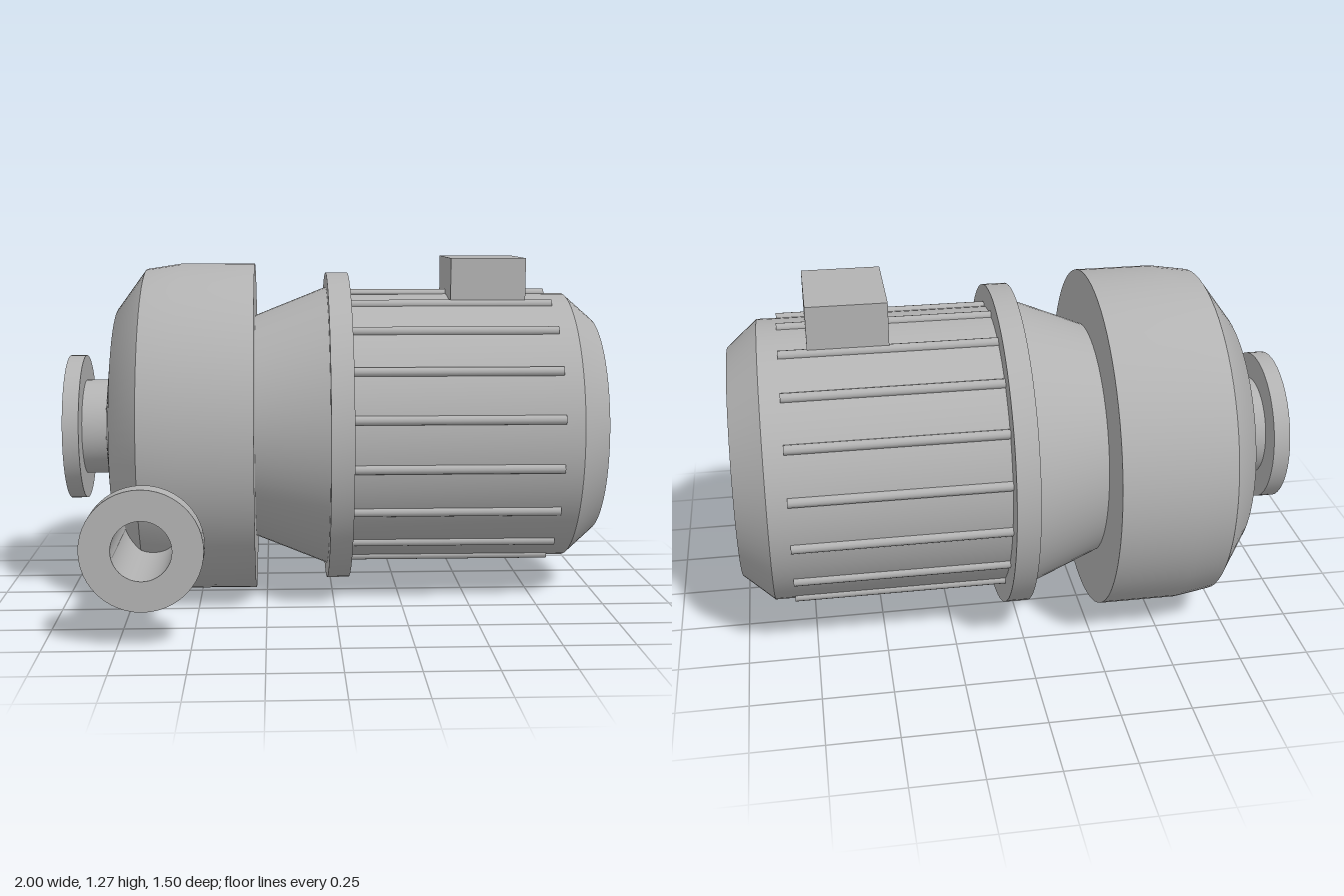
import * as THREE from 'three';
import { toCreasedNormals } from 'three/addons/utils/BufferGeometryUtils.js';

const AXIS_Y = 0.63, AXIS_Z = -0.125;

export function createModel() {
  const pump = new THREE.Group();
  pump.name = 'pump';
  const grey = new THREE.MeshStandardMaterial({ color: 0xb2b2b2 });
  grey.name = 'castGrey';

  function add(name, geometry, x = 0, y = AXIS_Y, z = AXIS_Z) {
    const mesh = new THREE.Mesh(geometry, grey);
    mesh.name = name;
    mesh.position.set(x, y, z);
    pump.add(mesh);
    return mesh;
  }

  // Revolves [radius, distance along axis] points; sharp corners stay creased.
  function revolve(profile, segments = 72) {
    const points = profile.map(([r, d]) => new THREE.Vector2(r, d));
    return toCreasedNormals(new THREE.LatheGeometry(points, segments), 0.56);
  }
  const alongX = (profile) => revolve(profile).rotateZ(-Math.PI / 2);
  const alongZ = (profile) => revolve(profile, 48).rotateX(Math.PI / 2);

  // Domed volute casing with its inlet bore
  add('casing', alongX([
    [0, -0.6], [0.14, -0.6], [0.14, -0.85], [0.18, -0.85], [0.455, -0.81],
    [0.605, -0.7], [0.625, -0.57], [0.625, -0.29], [0, -0.29],
  ]));

  // Inlet: hollow neck and flange
  add('inletNozzle', alongX([
    [0.14, -0.85], [0.14, -1], [0.275, -1], [0.275, -0.94], [0.18, -0.94], [0.18, -0.84],
  ]));

  // Outlet: hollow pipe and flange facing forward, low on the casing
  add('outletNozzle', alongZ([
    [0.135, 0], [0.135, 0.67], [0.207, 0.67], [0.207, 0.75], [0.102, 0.75], [0.102, 0],
  ]), -0.66, 0.343, 0);

  // Tapered lantern between casing and motor
  add('lantern', alongX([[0, -0.3], [0.427, -0.29], [0.535, -0.02], [0, -0.02]]));
  add('motorFlange', alongX([[0, -0.02], [0.59, -0.02], [0.59, 0.063], [0, 0.063]]));

  // Motor body and chamfered end cover
  add('motorBody', alongX([[0, 0.06], [0.51, 0.06], [0.51, 0.89], [0, 0.89]]));
  add('endCover', alongX([[0, 0.89], [0.51, 0.89], [0.415, 1], [0, 1]]));

  // Cooling ribs around the motor
  const rib = new THREE.CylinderGeometry(0.017, 0.017, 0.76, 12).rotateZ(Math.PI / 2);
  for (let i = 0; i < 18; i++) {
    const a = (i / 18) * Math.PI * 2;
    add('coolingRib', rib, 0.44, AXIS_Y + 0.51 * Math.cos(a), AXIS_Z + 0.51 * Math.sin(a));
  }

  // Terminal box on top of the motor
  add('terminalBox', new THREE.BoxGeometry(0.28, 0.155, 0.365), 0.58, 1.2025, -0.123);

  return pump;
}
